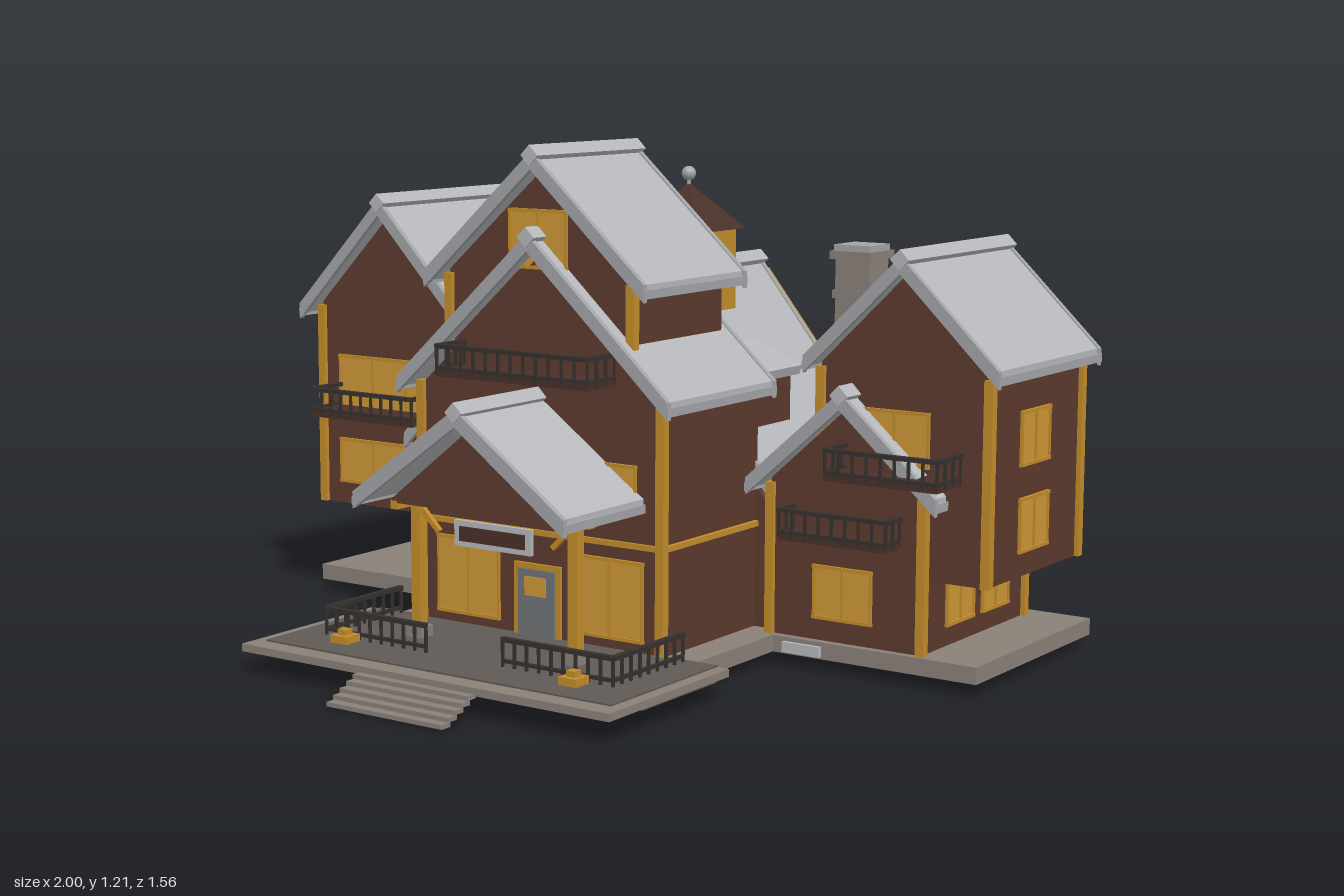
import * as THREE from 'three';

const mat = (name, color) => Object.assign(new THREE.MeshStandardMaterial({ color }), { name });
const M = {
  wall: mat('brown timber wall', 0x5c3a2d),
  gold: mat('golden timber', 0xc28c2a),
  glass: mat('lit window', 0xcd9736),
  roof: mat('pale grey roof', 0xb6b8bc),
  trim: mat('roof trim', 0xa3a5a8),
  stone: mat('stone', 0x8a8078),
  deck: mat('dark deck', 0x605a56),
  rail: mat('dark railing', 0x35302d),
  cap: mat('dark brown roof', 0x4a3029),
  door: mat('grey door', 0x6f7578),
};

export function createModel() {
  const model = new THREE.Group();
  model.name = 'lodge';

  const add = (name, geo, material, parent = model) => {
    const m = new THREE.Mesh(geo, material);
    m.name = name;
    parent.add(m);
    return m;
  };
  // Box given by its two opposite corners
  const box = (name, material, x0, x1, y0, y1, z0, z1, parent) => {
    const m = add(name, new THREE.BoxGeometry(x1 - x0, y1 - y0, z1 - z0), material, parent);
    m.position.set((x0 + x1) / 2, (y0 + y1) / 2, (z0 + z1) / 2);
    return m;
  };
  const prism = (name, material, pts, z0, z1, parent) => {
    const shape = new THREE.Shape(pts.map(p => new THREE.Vector2(...p)));
    const geo = new THREE.ExtrudeGeometry(shape, { depth: z1 - z0, bevelEnabled: false });
    const m = add(name, geo, material, parent);
    m.position.z = z0;
    return m;
  };
  const chevron = (name, material, x, h, ye, ya, t, z0, z1, parent) =>
    prism(name, material, [[x - h, ye - t], [x, ya - t], [x + h, ye - t], [x + h, ye], [x, ya], [x - h, ye]], z0, z1, parent);

  // Gabled wall block
  const house = (name, x, h, y0, ye, ya, z0, z1, parent) =>
    prism(name, M.wall, [[x - h, y0], [x + h, y0], [x + h, ye], [x, ya], [x - h, ye]], z0, z1, parent);

  // Gable roof with verge trim, eave gutters and ridge cap
  const gableRoof = (name, x, h, ye, ya, z0, z1, parent = model) => {
    const g = new THREE.Group();
    g.name = name;
    parent.add(g);
    chevron('roofSlab', M.roof, x, h, ye, ya, 0.03, z0 + 0.005, z1 - 0.005, g);
    for (const z of [z0, z1 - 0.014]) chevron('vergeTrim', M.trim, x, h + 0.004, ye, ya + 0.005, 0.04, z, z + 0.014, g);
    for (const s of [-1, 1]) box('eaveTrim', M.trim, x + s * h - 0.006, x + s * h + 0.006, ye - 0.032, ye - 0.012, z0, z1, g);
    const ridge = box('ridgeCap', M.roof, -0.017, 0.017, -0.017, 0.017, z0 - 0.003, z1 + 0.003, g);
    ridge.position.set(x, ya - 0.003, (z0 + z1) / 2);
    ridge.rotation.z = Math.PI / 4;
  };

  // Thin window with frame; turn: 0 front, 1 left (+x), 2 back, 3 right (-x)
  const win = (x, y, z, w, h, cols = 2, turn = 0) => {
    const g = new THREE.Group();
    g.name = 'window';
    g.position.set(x, y, z);
    g.rotation.y = turn * Math.PI / 2;
    model.add(g);
    box('pane', M.glass, -w / 2, w / 2, -h / 2, h / 2, 0, 0.004, g);
    for (let i = 0; i <= cols; i++) {
      const px = -w / 2 + (w * i) / cols;
      box('mullion', M.gold, px - 0.003, px + 0.003, -h / 2, h / 2, 0.001, 0.008, g);
    }
    for (const s of [-1, 1]) box('sill', M.gold, -w / 2 - 0.004, w / 2 + 0.004, s * h / 2 - 0.004, s * h / 2 + 0.004, 0.001, 0.009, g);
  };

  // Railing along a straight line
  const railing = (xa, za, xb, zb, y, h, parent = model) => {
    const len = Math.hypot(xb - xa, zb - za), n = Math.max(2, Math.round(len / 0.035));
    const g = new THREE.Group();
    g.name = 'railing';
    g.position.set(xa, y, za);
    g.rotation.y = -Math.atan2(zb - za, xb - xa);
    parent.add(g);
    box('topRail', M.rail, 0, len, h - 0.01, h, -0.007, 0.007, g);
    box('bottomRail', M.rail, 0, len, 0.01, 0.018, -0.004, 0.004, g);
    for (let i = 0; i <= n; i++) {
      const px = (len * i) / n;
      box('baluster', M.rail, px - 0.003, px + 0.003, 0, h, -0.003, 0.003, g);
    }
  };
  const balcony = (x0, x1, y, z0, z1, h = 0.07) => {
    const g = new THREE.Group();
    g.name = 'balcony';
    model.add(g);
    box('balconyFloor', M.cap, x0, x1, y - 0.006, y + 0.012, z0, z1, g);
    railing(x0, z1, x1, z1, y, h, g);
    railing(x0, z0, x0, z1, y, h, g);
    railing(x1, z0, x1, z1, y, h, g);
  };
  const post = (x, z, y0, y1, r = 0.011) => box('cornerPost', M.gold, x - r, x + r, y0, y1, z - r, z + r);

  // Foundation and entrance deck
  box('leftFoundation', M.stone, -0.96, -0.4, 0.03, 0.07, -0.64, -0.1);
  box('centreFoundation', M.stone, -0.43, 0.43, 0.03, 0.07, -0.77, 0.23);
  box('rightFoundation', M.stone, 0.4, 0.96, 0.03, 0.07, -0.71, -0.12);
  box('deckEdge', M.stone, -0.52, 0.52, 0.052, 0.07, 0.21, 0.67);
  box('deckBase', M.deck, -0.48, 0.48, 0.03, 0.055, 0.2, 0.49);
  box('deckFloor', M.deck, -0.49, 0.49, 0.068, 0.074, 0.21, 0.62);
  for (let i = 0; i < 5; i++) box('frontStep', M.stone, -0.163, 0.163, 0.002 + i * 0.011, 0.012 + i * 0.011, 0.75 - i * 0.022, 0.78 - i * 0.022);
  box('sideStep', M.roof, 0.46, 0.56, 0.035, 0.06, -0.15, -0.11);
  box('backStep', M.roof, -0.39, -0.29, 0.035, 0.06, -0.775, -0.725);

  // Centre block and upper tower
  house('centreWalls', 0, 0.345, 0.07, 0.64, 0.96, -0.18, 0.22);
  gableRoof('centreRoof', 0, 0.385, 0.66, 1.01, -0.19, 0.265);
  house('towerWalls', 0, 0.26, 0.6, 0.92, 1.15, -0.15, 0.215);
  gableRoof('towerRoof', 0, 0.31, 0.915, 1.195, -0.175, 0.25);
  win(0, 1.0, 0.215, 0.16, 0.13);
  balcony(-0.215, 0.215, 0.685, 0.22, 0.325);
  for (const s of [-1, 1]) {
    post(s * 0.345, 0.22, 0.07, 0.65);
    post(s * 0.26, 0.215, 0.75, 0.91);
    box('sideBand', M.gold, s * 0.35 - 0.006, s * 0.35 + 0.006, 0.313, 0.326, -0.17, 0.22);
    win(s * 0.205, 0.19, 0.22, 0.18, 0.18, 2);
    win(s * 0.2, 0.45, 0.22, 0.15, 0.1, 2);
  }
  box('frontBand', M.gold, -0.345, 0.345, 0.313, 0.326, 0.215, 0.228);

  // Front door
  box('doorFrame', M.gold, -0.067, 0.067, 0.07, 0.245, 0.218, 0.228);
  box('frontDoor', M.door, -0.052, 0.052, 0.07, 0.232, 0.226, 0.233);
  box('doorPane', M.glass, -0.03, 0.03, 0.17, 0.215, 0.232, 0.237);

  // Porch
  house('porchGable', 0, 0.24, 0.4, 0.41, 0.6, 0.2, 0.46);
  gableRoof('porchRoof', 0, 0.295, 0.43, 0.64, 0.2, 0.53);
  box('porchBeam', M.gold, -0.27, 0.27, 0.385, 0.405, 0.37, 0.395);
  for (const s of [-1, 1]) {
    post(s * 0.225, 0.383, 0.1, 0.4, 0.013);
    box('postFoot', M.stone, s * 0.225 - 0.022, s * 0.225 + 0.022, 0.072, 0.1, 0.361, 0.405);
    box('sideBeam', M.gold, s * 0.235 - 0.01, s * 0.235 + 0.01, 0.385, 0.405, 0.22, 0.46);
    const brace = box('porchBrace', M.gold, -0.006, 0.006, -0.045, 0.045, -0.006, 0.006);
    brace.position.set(s * 0.195, 0.36, 0.383);
    brace.rotation.z = -s * 0.8;
    box('lanternBase', M.gold, s * 0.327 - 0.024, s * 0.327 + 0.024, 0.074, 0.092, 0.506, 0.554);
    box('lanternTop', M.gold, s * 0.327 - 0.012, s * 0.327 + 0.012, 0.092, 0.105, 0.518, 0.542);
    railing(s * 0.41, 0.5, s * 0.11, 0.5, 0.074, 0.068);
    railing(s * 0.41, 0.23, s * 0.41, 0.5, 0.074, 0.068);
  }
  box('signFrame', M.roof, -0.11, 0.11, 0.305, 0.365, 0.385, 0.395);
  box('signBoard', M.cap, -0.093, 0.093, 0.318, 0.352, 0.394, 0.399);

  // Rear hall with golden bargeboards
  house('hallWalls', 0, 0.42, 0.07, 0.32, 0.83, -0.765, -0.17);
  gableRoof('hallRoof', 0, 0.42, 0.37, 0.89, -0.735, -0.17);
  chevron('bargeboard', M.gold, 0, 0.465, 0.285, 0.86, 0.05, -0.78, -0.764);
  win(0, 0.5, -0.765, 0.11, 0.13, 2, 2);
  for (const s of [-1, 1]) {
    win(s * 0.2, 0.2, -0.765, 0.1, 0.1, 2, 2);
    // Roof dormers
    box('dormerWall', M.wall, s * 0.24 - 0.05, s * 0.24 + 0.05, 0.5, 0.67, -0.415, -0.265);
    const lid = box('dormerRoof', M.roof, -0.075, 0.075, -0.012, 0.012, -0.09, 0.09);
    lid.position.set(s * 0.24, 0.68, -0.34);
    lid.rotation.z = -s * 0.35;
  }
  win(0.42, 0.19, -0.675, 0.075, 0.11, 1, 1);

  // Cupola
  box('cupolaWalls', M.gold, -0.085, 0.085, 0.75, 0.985, -0.485, -0.315);
  const cone = add('cupolaRoof', new THREE.ConeGeometry(0.145, 0.115, 4).toNonIndexed(), M.cap);
  cone.geometry.computeVertexNormals();
  cone.rotation.y = Math.PI / 4;
  cone.position.set(0, 1.042, -0.4);
  add('finialRod', new THREE.CylinderGeometry(0.005, 0.005, 0.06, 8), M.trim).position.set(0, 1.095, -0.4);
  add('finialBall', new THREE.SphereGeometry(0.018, 12, 8), M.trim).position.set(0, 1.122, -0.4);

  // Chimney
  box('chimneyStack', M.stone, 0.38, 0.475, 0.07, 0.93, -0.56, -0.47);
  box('chimneyBand', M.stone, 0.375, 0.48, 0.83, 0.85, -0.565, -0.465);
  box('chimneyCap', M.stone, 0.37, 0.485, 0.925, 0.945, -0.572, -0.458);
  box('chimneyTop', M.trim, 0.378, 0.477, 0.945, 0.96, -0.564, -0.466);

  // Left (+x) wing and low annex
  house('leftWingWalls', 0.745, 0.215, 0.24, 0.72, 0.93, -0.62, -0.16);
  gableRoof('leftWingRoof', 0.75, 0.245, 0.735, 0.97, -0.645, -0.12);
  house('leftAnnexWalls', 0.61, 0.2, 0.07, 0.44, 0.62, -0.65, -0.14);
  gableRoof('leftAnnexRoof', 0.61, 0.245, 0.44, 0.655, -0.675, -0.1);
  for (const z of [-0.62, -0.16]) post(0.96, z, 0.24, 0.71);
  post(0.53, -0.16, 0.4, 0.71);
  for (const z of [-0.65, -0.14]) for (const x of [0.41, 0.81]) post(x, z, 0.07, 0.43);
  win(0.68, 0.56, -0.16, 0.26, 0.12, 3);
  win(0.605, 0.185, -0.14, 0.15, 0.12, 2);
  for (const y of [0.36, 0.56]) win(0.96, y, -0.38, 0.14, 0.12, 2, 1);
  for (const z of [-0.318, -0.495]) win(0.81, 0.183, z, 0.13, 0.125, 2, 1);
  balcony(0.605, 0.89, 0.47, -0.16, -0.05);
  balcony(0.47, 0.75, 0.315, -0.14, -0.075);

  // Right (-x) wing and low annex
  house('rightWingWalls', -0.735, 0.225, 0.24, 0.77, 1.0, -0.62, -0.12);
  gableRoof('rightWingRoof', -0.73, 0.265, 0.765, 1.04, -0.65, -0.07);
  for (const z of [-0.62, -0.12]) for (const x of [-0.96, -0.51]) post(x, z, 0.24, 0.76);
  box('frontWingBand', M.gold, -0.96, -0.51, 0.463, 0.475, -0.125, -0.113);
  box('sideWingBand', M.gold, -0.966, -0.954, 0.463, 0.475, -0.62, -0.12);
  win(-0.733, 0.565, -0.12, 0.335, 0.13, 3);
  win(-0.733, 0.355, -0.12, 0.335, 0.11, 3);
  for (const y of [0.36, 0.57]) win(-0.96, y, -0.37, 0.14, 0.12, 2, 3);
  balcony(-0.9, -0.565, 0.49, -0.12, 0);
  house('rightAnnexWalls', -0.52, 0.16, 0.07, 0.44, 0.6, -0.62, -0.14);
  gableRoof('rightAnnexRoof', -0.5, 0.17, 0.45, 0.63, -0.645, -0.1);
  win(-0.6, 0.135, -0.14, 0.12, 0.12, 2);
  win(-0.445, 0.135, -0.14, 0.11, 0.12, 2);
  balcony(-0.65, -0.4, 0.325, -0.14, -0.07);
  box('stoneBuffer', M.stone, -0.78, -0.68, 0.07, 0.24, -0.62, -0.48);

  // Link roof between right wing and hall
  const link = new THREE.Group();
  link.name = 'linkRoof';
  link.position.set(0, 0, -0.4);
  link.rotation.y = Math.PI / 2;
  model.add(link);
  house('linkWalls', 0, 0.16, 0.45, 0.54, 0.73, -0.52, -0.3, link);
  gableRoof('linkSlopes', 0, 0.19, 0.56, 0.765, -0.52, -0.345, link);

  return model;
}
